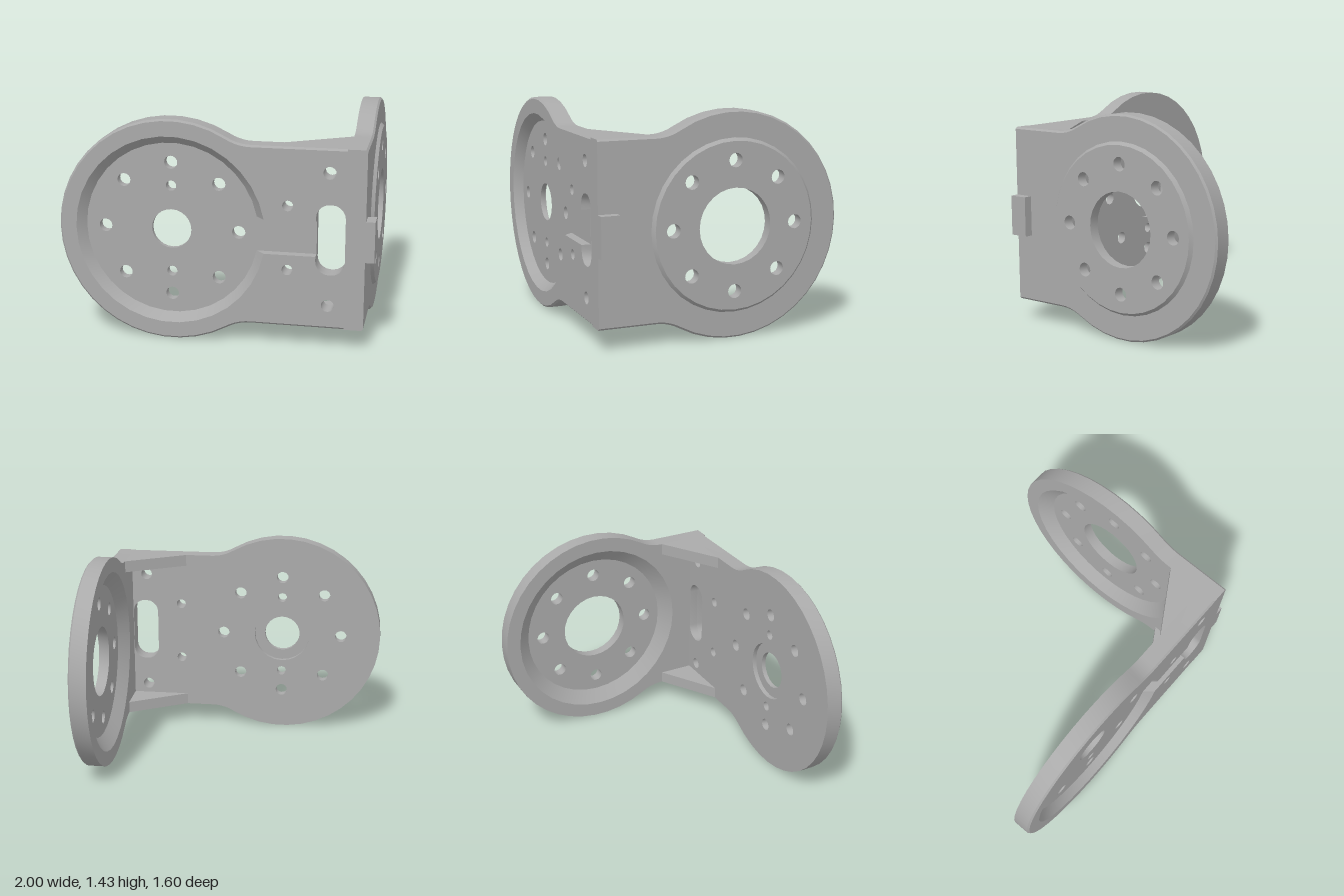
import * as THREE from 'three';
import { mergeGeometries, toCreasedNormals } from 'three/addons/utils/BufferGeometryUtils.js';

const V = (x, y) => new THREE.Vector2(x, y);
const T = 0.12;        // plate thickness
const R = 0.715;       // disc radius
const H = 0.575;       // neck half height
const CHAMFER = 0.012;

// Points on an arc, both ends included
function arc(cx, cy, r, a0, a1, n) {
  return Array.from({ length: n + 1 }, (_, i) => {
    const a = a0 + (a1 - a0) * i / n;
    return V(cx + r * Math.cos(a), cy + r * Math.sin(a));
  });
}
const circle = (cx, cy, r, n = 16) => arc(cx, cy, r, 0, Math.PI * 2, n).slice(0, -1);

// Disc with a filleted neck running to x = end, shrunk by inset
function outline(end, inset) {
  const rf = 0.3;
  const uf = Math.sqrt((R + rf) ** 2 - (H + rf) ** 2);
  const a = Math.atan2(H + rf, uf);
  return [
    V(end, -(H - inset)), V(end, H - inset),
    ...arc(uf, H + rf, rf + inset, -Math.PI / 2, a - Math.PI, 5),
    ...arc(0, 0, R - inset, a, Math.PI * 2 - a, 28).slice(1, -1),
    ...arc(uf, -H - rf, rf + inset, Math.PI - a, Math.PI / 2, 5)
  ];
}

// Wall between contour a at height za and contour b at height zb (za < zb)
function wall(a, za, b, zb, isHole = false) {
  if (isHole) { a = [...a].reverse(); b = [...b].reverse(); }
  const pos = [];
  a.forEach((p, i) => {
    const j = (i + 1) % a.length, q = a[j], s = b[i], t = b[j];
    pos.push(p.x, p.y, za, q.x, q.y, za, t.x, t.y, zb);
    pos.push(p.x, p.y, za, t.x, t.y, zb, s.x, s.y, zb);
  });
  const g = new THREE.BufferGeometry();
  g.setAttribute('position', new THREE.Float32BufferAttribute(pos, 3));
  return toCreasedNormals(g, 0.6);
}
const bore = (c, z0, z1) => wall(c, z0, c, z1, true);

// Flat face with holes at height z, facing up or down
function cap(contour, holes, z, up) {
  const shape = new THREE.Shape(contour);
  shape.holes = holes.map(h => new THREE.Path(h));
  const g = new THREE.ShapeGeometry(shape).toNonIndexed();
  g.deleteAttribute('uv');
  g.translate(0, 0, z);
  if (!up) {
    const p = g.attributes.position;
    for (let i = 0; i < p.count; i += 3) {
      const b = [p.getX(i + 1), p.getY(i + 1), p.getZ(i + 1)];
      p.setXYZ(i + 1, p.getX(i + 2), p.getY(i + 2), p.getZ(i + 2));
      p.setXYZ(i + 2, ...b);
    }
  }
  g.computeVertexNormals();
  return g;
}

// Outer edge of a plate with a chamfer on its outward side
function rim(end) {
  const full = outline(end, 0), small = outline(end, CHAMFER);
  return [wall(full, 0, full, T - CHAMFER), wall(full, T - CHAMFER, small, T)];
}

const boltRing = (radius, r) => Array.from({ length: 8 }, (_, i) =>
  circle(radius * Math.cos(i * Math.PI / 4), radius * Math.sin(i * Math.PI / 4), r));

export function createModel() {
  const model = new THREE.Group();
  model.name = 'angleBracket';
  const metal = new THREE.MeshStandardMaterial({ color: 0xaaaaaa });
  metal.name = 'greyMetal';
  const add = (parent, name, geos) => {
    const mesh = new THREE.Mesh(Array.isArray(geos) ? mergeGeometries(geos) : geos, metal);
    mesh.name = name;
    parent.add(mesh);
    return mesh;
  };

  // Front plate, local origin at the disc centre on its back face
  const front = new THREE.Group();
  front.name = 'frontPlate';
  front.position.set(-0.285, 0.725, 0.68);
  model.add(front);
  const END = 1.105, FLOOR = 0.06, C = 0.11;
  const SL = 0.92, SR = 1.102, SH = 0.225, sr = 0.085;
  const slot = [
    ...arc(SL + sr, -SH + sr, sr, Math.PI, Math.PI * 1.5, 5),
    ...arc(SR - sr, -SH + sr, sr, Math.PI * 1.5, Math.PI * 2, 5),
    ...arc(SR - sr, SH - sr, sr, 0, Math.PI / 2, 5),
    ...arc(SL + sr, SH - sr, sr, Math.PI / 2, Math.PI, 5)
  ];
  const dish = r => {
    const a = Math.asin(C / r);
    return arc(0, 0, r, a, Math.PI * 2 - a, 32);
  };
  const keyhole = r => [...dish(r), V(SL, -C), ...slot, V(SL, C)];
  const neckHoles = [-1, 1].flatMap(s => [
    circle(0.745, s * 0.206, 0.034), circle(1.0, s * 0.424, 0.04)]);
  const dishHoles = [...boltRing(0.43, 0.042),
    circle(0, 0.28, 0.033), circle(0, -0.28, 0.033)];
  const hub = circle(0, 0, 0.127, 24), counterbore = circle(0, 0, 0.2, 24);

  add(front, 'frontPlateRim', rim(END));
  add(front, 'frontPlateFace', cap(outline(END, CHAMFER), [keyhole(0.607), ...neckHoles], T, true));
  add(front, 'frontPlateBack',
    cap(outline(END, 0), [slot, counterbore, ...neckHoles, ...dishHoles], 0, false));
  add(front, 'frontDish', [
    wall(keyhole(0.555), FLOOR, keyhole(0.607), T, true),
    cap([...dish(0.555), V(SL, -C), V(SL, C)], [hub, ...dishHoles], FLOOR, true)
  ]);
  add(front, 'frontHoles', [
    ...neckHoles.map(h => bore(h, 0, T)),
    ...dishHoles.map(h => bore(h, 0, FLOOR)),
    bore(slot, 0, FLOOR)
  ]);
  add(front, 'frontCounterbore', [
    bore(counterbore, 0, 0.03), cap(counterbore, [hub], 0.03, false), bore(hub, 0.03, FLOOR)
  ]);

  // Side plate: the same outline turned so its neck meets the front corner
  const side = new THREE.Group();
  side.name = 'sidePlate';
  side.quaternion.setFromRotationMatrix(new THREE.Matrix4().makeBasis(
    new THREE.Vector3(0, 0, 1), new THREE.Vector3(0, -1, 0), new THREE.Vector3(1, 0, 0)));
  side.position.set(0.82, 0.725, -0.085);
  model.add(side);
  const SIDE_END = 0.885, DEPTH = 0.07, TOP = 0.142;
  const bossBase = circle(0, 0, 0.547, 36), bossTop = circle(0, 0, 0.528, 36);
  const coneMouth = circle(0, 0, 0.615, 36), coneFloor = circle(0, 0, 0.525, 36);
  const sideHoles = [circle(0, 0, 0.24, 28), ...boltRing(0.41, 0.045)];

  add(side, 'sidePlateRim', rim(SIDE_END));
  add(side, 'sidePlateFace', cap(outline(SIDE_END, CHAMFER), [bossBase], T, true));
  add(side, 'sidePlateBack', cap(outline(SIDE_END, 0), [coneMouth], 0, false));
  add(side, 'sideBoss', [wall(bossBase, T, bossTop, TOP), cap(bossTop, sideHoles, TOP, true)]);
  add(side, 'sideDish', [
    wall(coneMouth, 0, coneFloor, DEPTH, true), cap(coneFloor, sideHoles, DEPTH, false)
  ]);
  add(side, 'sideHoles', sideHoles.map(h => bore(h, DEPTH, TOP)));

  // Triangular gussets along the top and bottom of the inner corner
  const triangle = new THREE.Shape([V(0.42, 0.68), V(0.82, 0.44), V(0.82, 0.68)]);
  for (const [name, top] of [['topGusset', 1.3], ['bottomGusset', 0.23]]) {
    const g = new THREE.ExtrudeGeometry(triangle, { depth: 0.08, bevelEnabled: false });
    add(model, name, g.rotateX(Math.PI / 2)).position.y = top;
  }

  // Locating tab on the outer corner
  add(model, 'cornerTab', new THREE.BoxGeometry(0.06, 0.26, 0.12)).position.set(0.967, 0.725, 0.74);
  return model;
}
